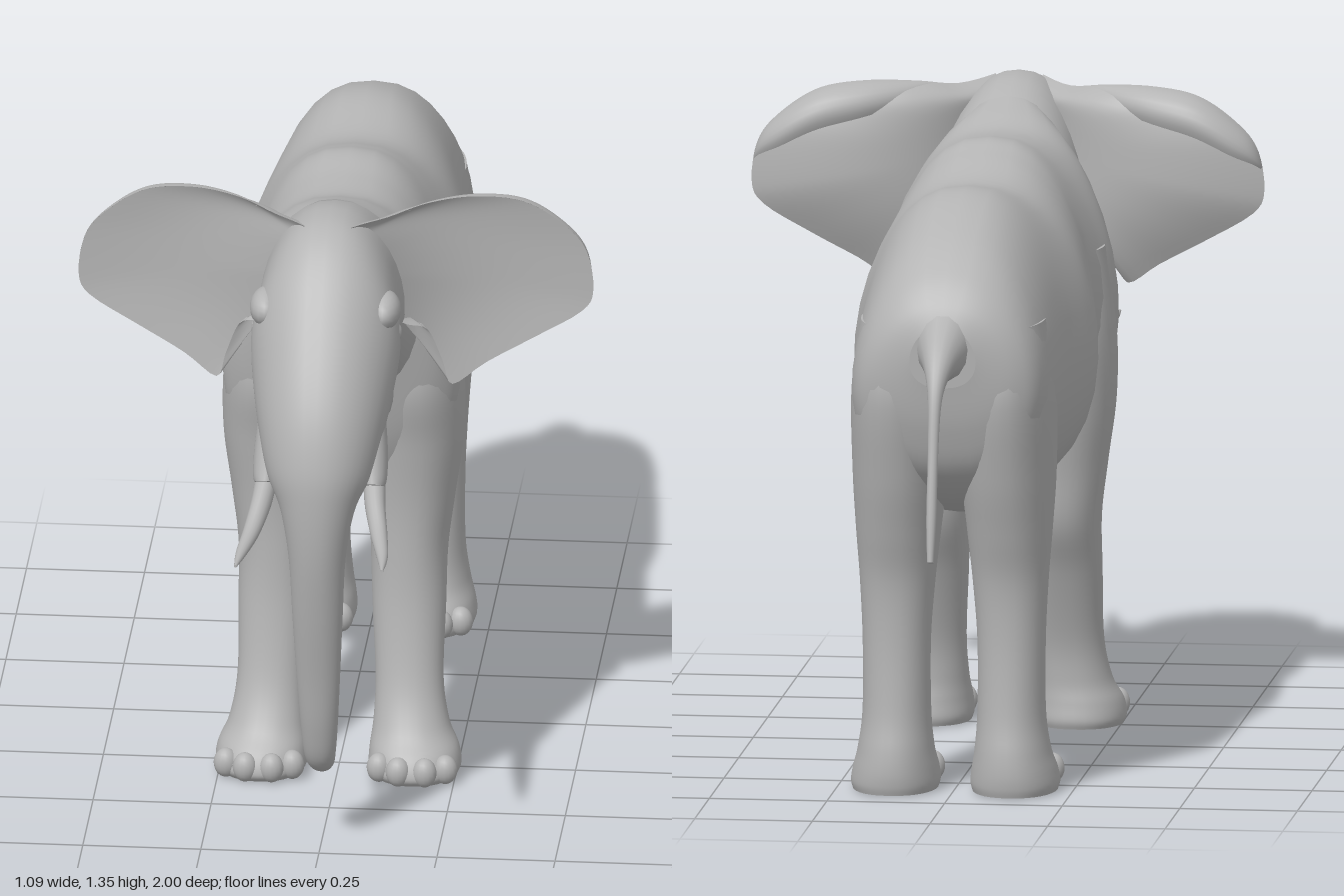
import * as THREE from 'three';

const hide = new THREE.MeshStandardMaterial({ color: 0xb4b4b4 });
hide.name = 'grey hide';
hide.side = THREE.DoubleSide;

// Catmull-Rom through rows of numbers
function sampleRows(rows, u) {
  const n = rows.length - 1, f = Math.min(u * n, n - 1e-6), i = Math.floor(f), t = f - i;
  const at = k => rows[Math.max(0, Math.min(n, k))];
  return rows[0].map((_, c) => {
    const [a, b, d, e] = [at(i - 1)[c], at(i)[c], at(i + 1)[c], at(i + 2)[c]];
    return 0.5 * (2 * b + (d - a) * t + (2 * a - 5 * b + 4 * d - e) * t * t + (3 * b - a - 3 * d + e) * t * t * t);
  });
}

// Rounded skin over sections [zA, yA, zB, yB, halfWidth, xCentre]
function loft(name, rows, { side = 1, square = 1, taper = 0, seg = 32, steps = 6 } = {}) {
  const pos = [], idx = [], n = (rows.length - 1) * steps;
  const ring = u => {
    const [zA, yA, zB, yB, w, xc = 0] = sampleRows(rows, u);
    for (let j = 0; j < seg; j++) {
      const a = (j / seg) * Math.PI * 2, c = Math.cos(a), s = Math.sin(a);
      const x = Math.sign(c) * Math.abs(c) ** square * w * (1 - taper * s);
      pos.push(xc * side + x, (yA + yB) / 2 + s * (yA - yB) / 2, (zA + zB) / 2 + s * (zA - zB) / 2);
    }
    return [xc * side, (yA + yB) / 2, (zA + zB) / 2];
  };
  for (let i = 0; i <= n; i++) ring(i / n);
  for (let i = 0; i < n; i++) for (let j = 0; j < seg; j++) {
    const a = i * seg + j, b = i * seg + (j + 1) % seg;
    idx.push(a, b, a + seg, b, b + seg, a + seg);
  }
  for (const end of [0, 1]) {
    const start = pos.length / 3, mid = start + seg;
    pos.push(...ring(end));
    for (let j = 0; j < seg; j++) {
      const a = start + j, b = start + (j + 1) % seg;
      end ? idx.push(a, b, mid) : idx.push(b, a, mid);
    }
  }
  return skin(name, pos, idx);
}

function skin(name, pos, idx) {
  const g = new THREE.BufferGeometry();
  g.setAttribute('position', new THREE.Float32BufferAttribute(pos, 3));
  g.setIndex(idx);
  g.computeVertexNormals();
  const m = new THREE.Mesh(g, hide);
  m.name = name;
  return m;
}

// Open sheet from a rule (u, v) -> [x, y, z], mirrored by side
function sheet(name, rule, nu, nv, side) {
  const pos = [], idx = [];
  for (let i = 0; i <= nu; i++) for (let j = 0; j <= nv; j++) {
    const [x, y, z] = rule(i / nu, j / nv);
    pos.push(x * side, y, z);
  }
  for (let i = 0; i < nu; i++) for (let j = 0; j < nv; j++) {
    const a = i * (nv + 1) + j, b = a + nv + 1;
    side > 0 ? idx.push(a, a + 1, b, b, a + 1, b + 1) : idx.push(a, b, a + 1, b, b + 1, a + 1);
  }
  return skin(name, pos, idx);
}

function ball(name, x, y, z, rx, ry, rz) {
  const m = new THREE.Mesh(new THREE.SphereGeometry(1, 16, 12), hide);
  m.name = name;
  m.position.set(x, y, z);
  m.scale.set(rx, ry, rz);
  return m;
}

const earOutline = [[.05, 1.345], [.12, 1.337], [.2, 1.35], [.3, 1.355], [.4, 1.34], [.48, 1.29], [.53, 1.23],
  [.545, 1.14], [.52, 1.09], [.42, 1.03], [.32, .975], [.25, .93], [.23, .985], [.2, 1.06], [.16, 1.08], [.13, 1.1]];
const earDepth = x => .33 + .2 * Math.exp(-(x - .05) / .13);

function ear(side) {
  const g = new THREE.Group();
  g.name = side > 0 ? 'leftEar' : 'rightEar';
  const face = thick => (u, v) => {
    const [ox, oy] = sampleRows(earOutline, u);
    const x = (.05 + .07 * u) * (1 - v) + ox * v;
    const y = (1.31 - .2 * u) * (1 - v) + oy * v;
    const dish = .012 * Math.sin(Math.PI * v);
    return [x, y, earDepth(x) - dish - thick * (1 - v * v)];
  };
  g.add(sheet('earFront', (u, v) => face(0)(1 - u, v), 60, 12, side));
  g.add(sheet('earBack', face(.06), 60, 12, side));
  // upper rim rolled over to the back
  g.add(sheet('earRim', (u, v) => {
    const [x, y] = sampleRows(earOutline, .1 + .33 * u);
    const w = Math.sin(Math.PI * u) ** .7, a = v * Math.PI * .65;
    return [x, y - .055 * w * (1 - Math.cos(a)), earDepth(x) - .07 * w * Math.sin(a)];
  }, 28, 8, side));
  return g;
}

const foreLeg = [
  [.26, 1.05, .02, 1.05, .09, .14], [.29, .88, -.01, .88, .105, .148], [.265, .74, .01, .72, .105, .15],
  [.247, .6, .035, .58, .092, .145], [.245, .48, .055, .46, .082, .14], [.255, .35, .105, .35, .078, .142],
  [.285, .2, .158, .2, .072, .146], [.325, .11, .17, .11, .08, .152], [.37, .06, .165, .06, .094, .16],
  [.385, .025, .16, .025, .098, .162], [.375, .007, .165, .007, .092, .162]];
const hindLeg = [
  [-.45, 1.02, -.74, 1.02, .08, .115], [-.4, .86, -.775, .88, .1, .115], [-.41, .7, -.742, .7, .1, .115],
  [-.455, .57, -.705, .57, .09, .118], [-.49, .46, -.675, .46, .08, .12], [-.5, .33, -.667, .33, .072, .122],
  [-.49, .18, -.675, .18, .072, .122], [-.47, .1, -.688, .1, .08, .124], [-.435, .055, -.692, .055, .09, .126],
  [-.428, .025, -.69, .025, .094, .127], [-.435, .007, -.685, .007, .09, .127]];

function leg(name, rows, side) {
  const g = new THREE.Group();
  g.name = name;
  g.add(loft('limb', rows, { side, square: .9 }));
  const [front, , , , w, xc] = rows[rows.length - 2];
  // four toes around the front of the foot
  for (const a of [-.95, -.33, .33, .95])
    g.add(ball('toe', side * xc + Math.sin(a) * w * .88, .037, front - .075 + Math.cos(a) * .062, .026, .032, .024));
  return g;
}

export function createModel() {
  const model = new THREE.Group();
  model.name = 'elephant';

  model.add(loft('body', [
    [-.79, 1.03, -.785, .9, .07], [-.765, 1.08, -.765, .8, .15], [-.71, 1.14, -.72, .7, .195],
    [-.6, 1.21, -.61, .62, .212], [-.42, 1.262, -.42, .575, .225], [-.22, 1.243, -.22, .59, .255],
    [-.08, 1.28, -.08, .615, .238], [0, 1.3, 0, .635, .225], [.1, 1.288, .12, .6, .24],
    [.2, 1.285, .21, .62, .25], [.28, 1.31, .265, .72, .215], [.34, 1.33, .3, .85, .15]],
  { square: .82, taper: .12 }));

  // head and trunk in one sweep
  model.add(loft('headAndTrunk', [
    [.24, 1.285, .22, .8, .19], [.36, 1.335, .32, .87, .165], [.46, 1.357, .41, .94, .15],
    [.56, 1.345, .48, .965, .15], [.65, 1.275, .54, .955, .157], [.745, 1.15, .585, .905, .145],
    [.815, 1.03, .635, .868, .128], [.85, .92, .69, .83, .107], [.858, .83, .73, .785, .078],
    [.852, .71, .744, .69, .06], [.83, .57, .745, .56, .053], [.8, .42, .735, .42, .046],
    [.775, .29, .715, .3, .039], [.745, .205, .702, .24, .033], [.69, .167, .68, .208, .026],
    [.635, .152, .645, .193, .014]], { square: .9, taper: .1 }));

  model.add(loft('lowerJaw', [
    [.28, 1.02, .25, .72, .13], [.36, .97, .34, .81, .1], [.43, .94, .41, .865, .07],
    [.485, .925, .455, .858, .045], [.51, .88, .475, .835, .03], [.505, .825, .485, .805, .012]]));

  model.add(loft('tail', [
    [-.7, .9, -.68, 1.13, .09], [-.79, .915, -.78, 1.055, .055], [-.86, .92, -.87, .992, .03],
    [-.905, .88, -.925, .912, .015], [-.94, .77, -.96, .78, .011], [-.963, .65, -.985, .66, .011],
    [-.985, .56, -1, .565, .007]], { seg: 14 }));

  for (const side of [1, -1]) {
    const label = side > 0 ? 'left' : 'right';
    model.add(leg(label + 'ForeLeg', foreLeg, side), leg(label + 'HindLeg', hindLeg, side), ear(side));
    model.add(loft(label + 'TuskSocket', [
      [.69, 1.03, .6, .98, .025, .105], [.73, .94, .65, .88, .033, .108], [.755, .88, .685, .835, .03, .112],
      [.765, .858, .7, .825, .024, .114]], { side, seg: 16 }));
    model.add(loft(label + 'Tusk', [
      [.71, .875, .68, .83, .024, .113], [.77, .835, .755, .787, .022, .12], [.84, .79, .835, .755, .018, .135],
      [.92, .769, .92, .747, .012, .149], [1, .762, 1, .756, .003, .155]], { side, seg: 16 }));
    model.add(ball(label + 'Eye', side * .146, 1.125, .565, .014, .02, .024));
    const lid = new THREE.Mesh(new THREE.TorusGeometry(.026, .008, 8, 24), hide);
    lid.name = label + 'Eyelid';
    lid.position.set(side * .146, 1.125, .565);
    lid.rotation.y = Math.PI / 2;
    lid.scale.y = .75;
    model.add(lid);
    model.add(ball(label + 'Brow', side * .125, 1.185, .59, .035, .04, .06));
  }
  return model;
}
